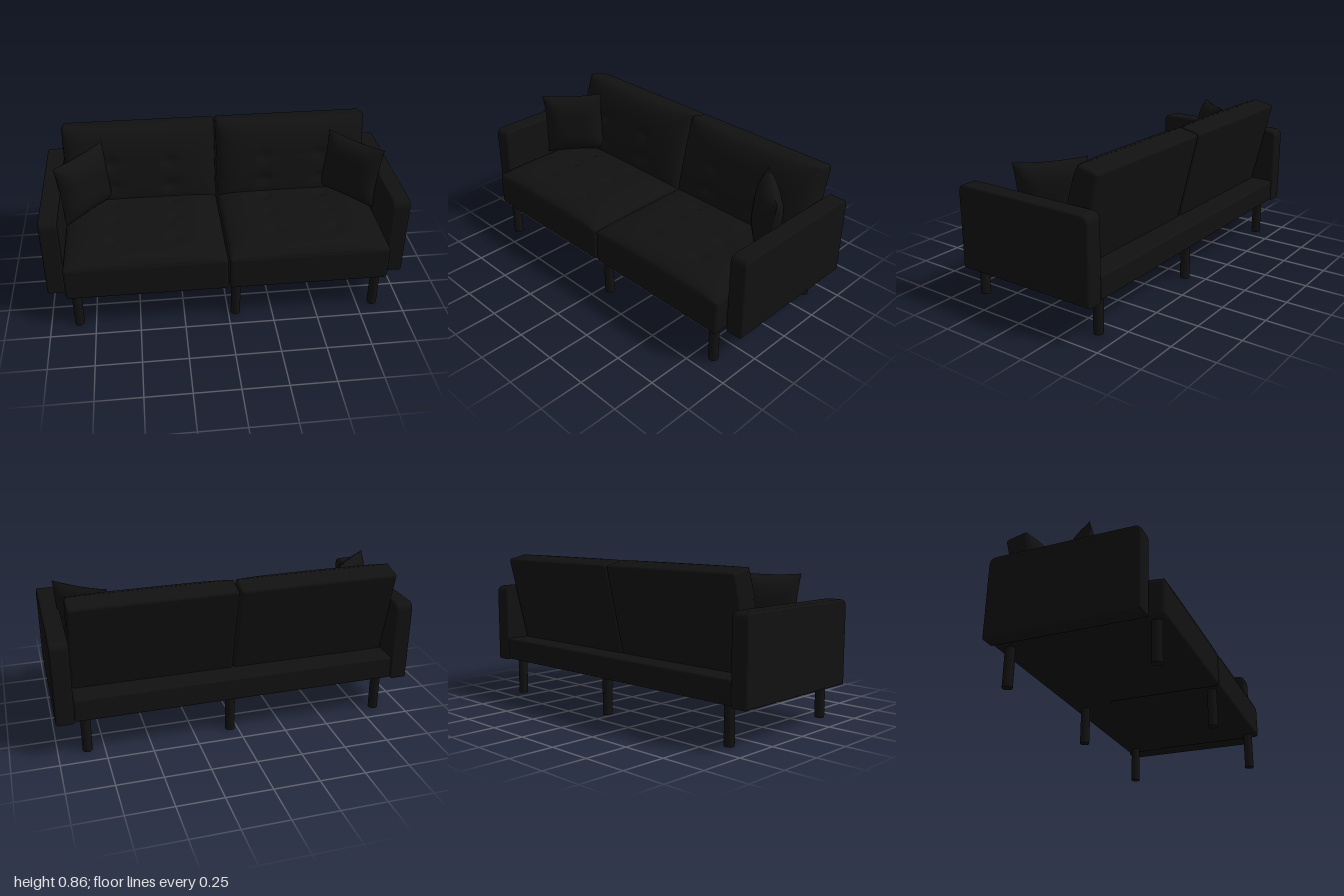
import * as THREE from 'three';
import { mergeGeometries } from 'three/addons/utils/BufferGeometryUtils.js';
import { RoundedBoxGeometry } from 'three/addons/geometries/RoundedBoxGeometry.js';

const fabric = new THREE.MeshStandardMaterial({ color: 0x111111 });
const thinFabric = new THREE.MeshStandardMaterial({ color: 0x111111, side: THREE.DoubleSide });

function add(parent, name, geometry, x = 0, y = 0, z = 0, material = fabric) {
  const mesh = new THREE.Mesh(geometry, material);
  mesh.name = name;
  mesh.position.set(x, y, z);
  parent.add(mesh);
  return mesh;
}

// Box between two corners, with rounded edges
function roundedBox(parent, name, [x0, y0, z0], [x1, y1, z1], r) {
  const g = new RoundedBoxGeometry(x1 - x0, y1 - y0, z1 - z0, 4, r);
  return add(parent, name, g, (x0 + x1) / 2, (y0 + y1) / 2, (z0 + z1) / 2);
}

// Padded surface bulging toward +z; tufts are [x, y] dents, pinch pulls the edges inward
function padded(w, h, bulge, { power = 4, soft = 0.5, tufts = [], pinch = 0 } = {}) {
  const g = new THREE.PlaneGeometry(2, 2, 56, 44);
  const p = g.attributes.position;
  for (let i = 0; i < p.count; i++) {
    const u = Math.sin(p.getX(i) * Math.PI / 2);
    const v = Math.sin(p.getY(i) * Math.PI / 2);
    const x = u * w / 2 * (1 - pinch * (1 - v * v));
    const y = v * h / 2 * (1 - pinch * (1 - u * u));
    const fall = Math.max(0, (1 - Math.abs(u) ** 4) * (1 - Math.abs(v) ** power));
    let z = bulge * fall ** soft;
    for (const [tx, ty] of tufts) {
      const dx = x - tx, dy = y - ty;
      z -= 0.016 * Math.exp(-(dx * dx + dy * dy) / 0.0012);
      z -= 0.004 * Math.exp(-(dx * dx) / 0.012 - (dy * dy) / 0.0002);
    }
    p.setXYZ(i, x, y, z);
  }
  g.computeVertexNormals();
  return g;
}

// Arm panel: side profile with rounded top corners, extruded across x
function armGeometry() {
  const b = 0.012, z0 = -0.455 + b, z1 = 0.38 - b, y0 = 0.21 + b, y1 = 0.67 - b, r = 0.032;
  const s = new THREE.Shape();
  s.moveTo(-z0, y0);
  s.lineTo(-z0, y1 - r);
  s.quadraticCurveTo(-z0, y1, -z0 - r, y1);
  s.lineTo(-z1 + r, y1);
  s.quadraticCurveTo(-z1, y1, -z1, y1 - r);
  s.lineTo(-z1, y0);
  s.closePath();
  const g = new THREE.ExtrudeGeometry(s, {
    depth: 0.1 - 2 * b, bevelEnabled: true, bevelSize: b, bevelThickness: b,
    bevelSegments: 4, curveSegments: 6,
  });
  g.translate(0, 0, -0.05 + b);
  g.rotateY(Math.PI / 2);
  return g;
}

export function createModel() {
  const sofa = new THREE.Group();
  sofa.name = 'sofa';

  const arm = armGeometry();
  for (const side of [1, -1]) {
    const label = side > 0 ? 'left' : 'right';
    add(sofa, label + 'Arm', arm, side * 0.95, 0, 0);

    // Seat half: upholstered block with a tufted crown
    const seat = new THREE.Group();
    seat.name = label + 'Seat';
    sofa.add(seat);
    const cx = side * 0.45;
    roundedBox(seat, 'seatBlock', [cx - 0.446, 0.215, -0.3], [cx + 0.446, 0.415, 0.455], 0.018);
    const seatTufts = [];
    for (const x of [-0.17, 0.17]) for (const y of [-0.19, 0, 0.17]) seatTufts.push([x, y]);
    const crown = add(seat, 'seatCrown', padded(0.885, 0.745, 0.06, { tufts: seatTufts }),
      cx, 0.408, 0.08, thinFabric);
    crown.rotation.x = -Math.PI / 2;

    // Backrest half: leaning panel with a padded front; local y runs up the lean
    const back = new THREE.Group();
    back.name = label + 'Backrest';
    back.position.set(cx, 0.607, -0.251);
    back.rotation.x = -0.235;
    sofa.add(back);
    roundedBox(back, 'backPanel', [-0.446, -0.265, -0.125], [0.446, 0.268, 0], 0.016);
    const backTufts = [];
    for (const x of [-0.17, 0.17]) for (const y of [-0.09, 0.055]) backTufts.push([x, y]);
    add(back, 'backPadding', padded(0.885, 0.53, 0.083, { power: 3, tufts: backTufts }),
      0, 0, -0.006, thinFabric);

    // Throw pillow set diagonally in the corner
    const face = padded(0.37, 0.375, 0.068, { power: 4, soft: 0.75, pinch: 0.06 });
    const pillow = add(sofa, label + 'Pillow',
      mergeGeometries([face, face.clone().rotateY(Math.PI)]),
      side * 0.775, 0.638, -0.058, thinFabric);
    pillow.rotation.order = 'YXZ';
    pillow.rotation.set(-0.08, -side * Math.PI / 4, -side * 0.05);
  }

  // Low rail behind the backrest
  roundedBox(sofa, 'backRail', [-0.902, 0.215, -0.452], [0.902, 0.345, -0.2], 0.012);

  // Six round legs
  const leg = new THREE.CylinderGeometry(0.027, 0.027, 0.225, 24);
  for (const x of [-0.842, 0.042, 0.842])
    for (const z of [0.396, -0.386]) add(sofa, z > 0 ? 'frontLeg' : 'backLeg', leg, x, 0.1125, z);

  return sofa;
}
